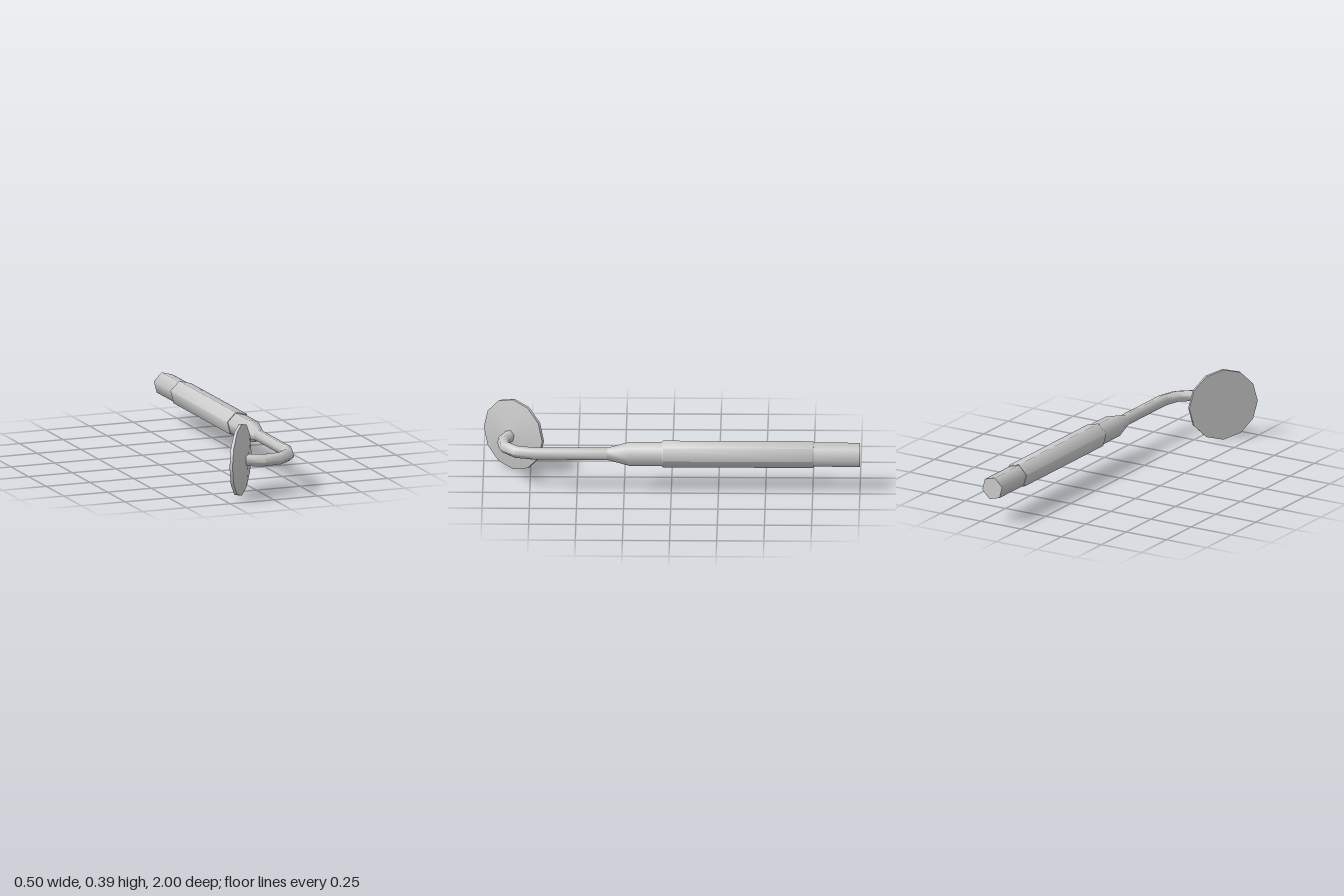
import * as THREE from 'three';
import { toCreasedNormals } from 'three/addons/utils/BufferGeometryUtils.js';

const AXIS_Y = 0.196;
const rad = THREE.MathUtils.degToRad;

// Skin polygonal rings [x, z, radius, heading in degrees] lying along a level path.
function loft(name, rings, sides, phase) {
  const positions = [];
  const index = [];
  rings.forEach(([x, z, r, heading], i) => {
    const h = rad(heading);
    for (let j = 0; j < sides; j++) {
      const a = rad(phase) + (j / sides) * Math.PI * 2;
      const across = r * Math.cos(a);
      positions.push(x + across * Math.cos(h), AXIS_Y + r * Math.sin(a), z - across * Math.sin(h));
      if (i === 0) continue;
      const k = (j + 1) % sides;
      const p = (i - 1) * sides;
      const q = i * sides;
      if (rings[i - 1][2] > 0) index.push(p + j, p + k, q + k);
      if (r > 0) index.push(p + j, q + k, q + j);
    }
  });
  const geometry = new THREE.BufferGeometry();
  geometry.setAttribute('position', new THREE.Float32BufferAttribute(positions, 3));
  geometry.setIndex(index);
  const mesh = new THREE.Mesh(
    toCreasedNormals(geometry, rad(63)),
    new THREE.MeshStandardMaterial({ color: 0xcccccc })
  );
  mesh.name = name;
  return mesh;
}

export function createModel() {
  const group = new THREE.Group();
  group.name = 'discTool';
  const hx = 0.18;

  // Hexagonal handle tapering down to the neck
  group.add(loft('handle', [
    [hx, -1, 0, 0],
    [hx, -1, 0.064, 0],
    [hx, 0.22, 0.064, 0],
    [hx, 0.34, 0.0325, 0],
  ], 6, -15));

  // Raised grip sleeve with small chamfers
  group.add(loft('grip', [
    [hx, -0.755, 0.06, 0],
    [hx, -0.755, 0.067, 0],
    [hx, -0.748, 0.071, 0],
    [hx, 0.043, 0.071, 0],
    [hx, 0.05, 0.067, 0],
    [hx, 0.05, 0.06, 0],
  ], 6, -15));

  // Thin neck, bent round to meet the disc
  group.add(loft('neck', [
    [hx, 0.34, 0.0325, 0],
    [hx, 0.73, 0.0325, -6],
    [0.154, 0.822, 0.0325, -32],
    [0.08, 0.885, 0.0325, -66],
    [-0.015, 0.895, 0.0325, -97],
    [-0.098, 0.861, 0.0325, -127],
  ], 6, -15));

  // Twelve-sided disc: flat back, thin rim, shallow cone towards the neck
  const heading = 53.13;
  const profile = [[0, 0], [0, 0.195], [0.016, 0.195], [0.046, 0.03], [0.046, 0]];
  group.add(loft('disc', profile.map(([d, r]) =>
    [-0.133 + 0.8 * d, 0.834 + 0.6 * d, r, heading]), 12, 0));

  return group;
}
